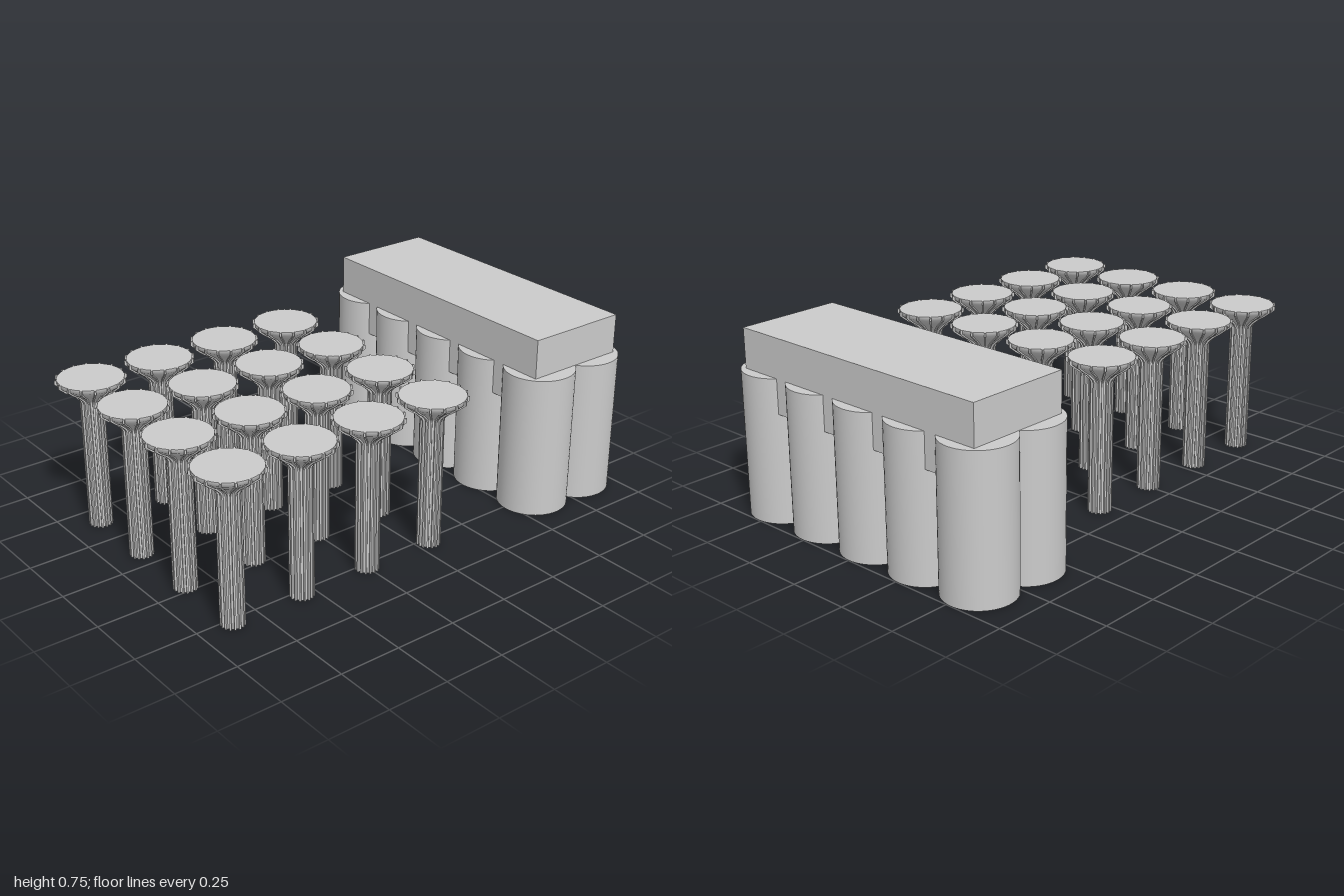
import * as THREE from 'three';
import { mergeGeometries } from 'three/addons/utils/BufferGeometryUtils.js';

const grey = new THREE.MeshStandardMaterial({ color: 0xcccccc });
const greyThin = new THREE.MeshStandardMaterial({ color: 0xcccccc, side: THREE.DoubleSide });

const RIBS = 16;
// Outer edge of the flared column as [radius, height]
const PROFILE = [[0.047, 0], [0.047, 0.535], [0.054, 0.548], [0.08, 0.572], [0.11, 0.592], [0.137, 0.614], [0.137, 0.63]];
const RIB_DEPTH = 0.009;

function part(name, geometry, material, x = 0, y = 0, z = 0) {
  const mesh = new THREE.Mesh(geometry, material);
  mesh.name = name;
  mesh.position.set(x, y, z);
  return mesh;
}

// Hollow flared shell, open at the foot
function shellGeometry() {
  const points = PROFILE.map(([r, y]) => new THREE.Vector2(r - RIB_DEPTH, y));
  return new THREE.LatheGeometry(points, 32);
}

// Thin ribs that follow the profile all round
function ribGeometry() {
  const outer = PROFILE.map(([r, y]) => new THREE.Vector2(r, y));
  const inner = PROFILE.map(([r, y]) => new THREE.Vector2(r - RIB_DEPTH - 0.002, y)).reverse();
  const rib = new THREE.ExtrudeGeometry(new THREE.Shape([...outer, ...inner]), { depth: 0.007, bevelEnabled: false });
  rib.translate(0, 0, -0.0035);
  const ribs = [];
  for (let i = 0; i < RIBS; i++) ribs.push(rib.clone().rotateY((i / RIBS) * Math.PI * 2));
  return mergeGeometries(ribs);
}

export function createModel() {
  const model = new THREE.Group();
  model.name = 'columnsAndTank';

  // Four by four grid of ribbed columns
  const shell = shellGeometry();
  const ribs = ribGeometry();
  const lid = new THREE.CircleGeometry(0.128, 32).rotateX(-Math.PI / 2);
  for (let i = 0; i < 4; i++) {
    for (let j = 0; j < 4; j++) {
      const column = new THREE.Group();
      column.name = 'column';
      column.add(
        part('columnShell', shell, greyThin),
        part('columnRibs', ribs, grey),
        part('columnTop', lid, greyThin, 0, 0.63, 0)
      );
      column.position.set(-0.863 + i * 0.305, 0, 0.525 - j * 0.305);
      model.add(column);
    }
  }

  // Two rows of five overlapping drums
  const block = new THREE.Group();
  block.name = 'drumBlock';
  const drum = new THREE.CylinderGeometry(0.142, 0.142, 0.585, 48);
  for (const x of [0.616, 0.856]) {
    for (let k = -2; k <= 2; k++) block.add(part('drum', drum, grey, x, 0.2925, -0.002 + k * 0.259));
  }

  // Slab sunk into the drums
  block.add(part('slab', new THREE.BoxGeometry(0.433, 0.3, 1.19), grey, 0.736, 0.595, -0.003));
  model.add(block);

  return model;
}
